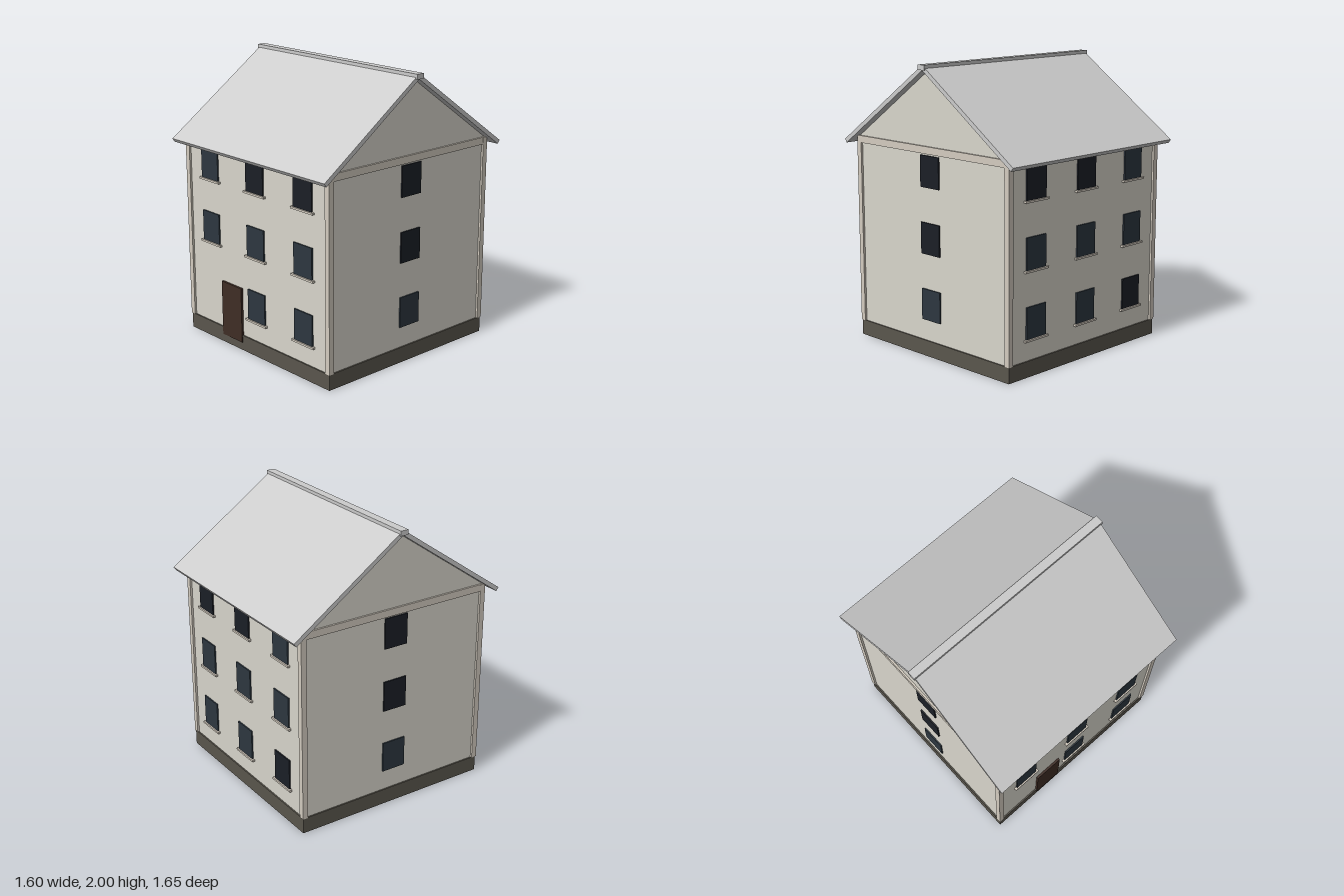
import * as THREE from 'three';

const mat = (color) => new THREE.MeshStandardMaterial({ color, flatShading: true });

export function createModel() {
  const house = new THREE.Group();
  house.name = 'house';

  const wall = mat(0xd9d6cc), trim = mat(0xd4ccc0), stone = mat(0x5a564d), roofing = mat(0xcccccc);
  const doorWood = mat(0x3f2d25), glass = mat(0x2d3740), darkGlass = mat(0x1b1f26);
  const WALL = 0.73, TRIM = 0.745;

  const box = (parent, name, material, size, pos) => {
    const mesh = new THREE.Mesh(new THREE.BoxGeometry(...size), material);
    mesh.name = name;
    mesh.position.set(...pos);
    parent.add(mesh);
    return mesh;
  };

  // End profile (z, y) stretched along x
  const prism = (name, material, points, length) => {
    const shape = new THREE.Shape(points.map(([z, y]) => new THREE.Vector2(z, y)));
    const geometry = new THREE.ExtrudeGeometry(shape, { depth: length, bevelEnabled: false });
    geometry.translate(0, 0, -length / 2).rotateY(Math.PI / 2);
    const mesh = new THREE.Mesh(geometry, material);
    mesh.name = name;
    house.add(mesh);
  };

  // Walls with gables, and the base
  prism('walls', wall, [[-WALL, 0.05], [WALL, 0.05], [WALL, 1.455], [0, 1.965], [-WALL, 1.455]], WALL * 2);
  box(house, 'plinth', stone, [1.48, 0.11, 1.48], [0, 0.055, 0]);

  // Pitched roof and ridge cap
  prism('roof', roofing, [[0.825, 1.425], [0, 1.998], [-0.825, 1.425], [-0.808, 1.4], [0, 1.962], [0.808, 1.4]], 1.58);
  box(house, 'ridgeCap', roofing, [1.6, 0.035, 0.06], [0, 1.9825, 0]);

  // Corner boards and bands below the roof
  for (const s of [-1, 1]) {
    for (const t of [-1, 1]) {
      box(house, 'cornerBoard', trim, [0.04, 1.345, 0.04], [s * 0.725, 0.7825, t * 0.725]);
    }
    box(house, 'gableBand', trim, [0.03, 0.05, 1.41], [s * (TRIM - 0.017), 1.43, 0]);
    box(house, 'eaveBand', trim, [1.41, 0.05, 0.03], [0, 1.43, s * (TRIM - 0.017)]);
  }

  // Each facade is laid out facing +z, then turned; rows run from top to bottom:
  // L = light pane, D = dark pane, - = none
  const rowY = [1.285, 0.827, 0.365];
  const facade = (name, turn, rows, sills) => {
    const side = new THREE.Group();
    side.name = name;
    side.rotation.y = turn;
    rows.forEach((row, r) => [...row].forEach((kind, c) => {
      if (kind === '-') return;
      const x = (c - (row.length - 1) / 2) * 0.484;
      box(side, 'window', kind === 'D' ? darkGlass : glass, [0.18, 0.217, 0.02], [x, rowY[r], WALL]);
      if (sills) box(side, 'windowSill', trim, [0.215, 0.014, 0.04], [x, rowY[r] - 0.116, WALL]);
    }));
    house.add(side);
  };
  facade('frontWindows', 0, ['LDD', 'LLL', '-LL'], true);
  facade('backWindows', Math.PI, ['DDL', 'LLL', 'LLD'], true);
  facade('leftWindows', Math.PI / 2, ['D', 'D', 'L'], false);
  facade('rightWindows', -Math.PI / 2, ['D', 'D', 'L'], false);

  // Entrance
  box(house, 'door', doorWood, [0.215, 0.4, 0.03], [-0.264, 0.258, 0.731]);

  return house;
}
